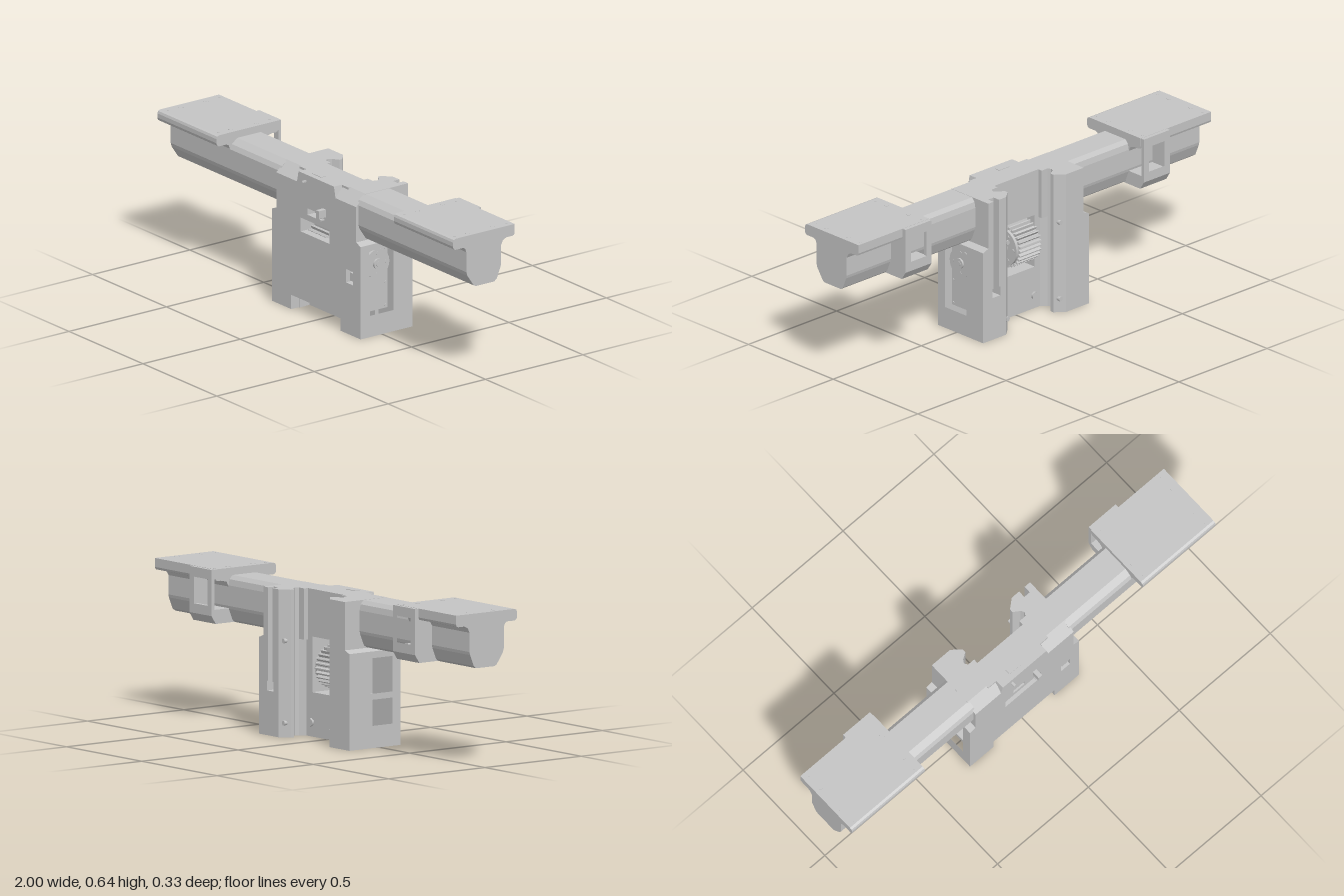
import * as THREE from 'three';

const grey = new THREE.MeshStandardMaterial({ color: 0xc4c4c4 });
grey.name = 'grey';

const rect = (a, b, c, d) => [[a, c], [b, c], [b, d], [a, d]];
const toShape = (pts, holes = []) => {
  const s = new THREE.Shape(pts.map(p => new THREE.Vector2(p[0], p[1])));
  for (const h of holes) s.holes.push(new THREE.Path(h.map(p => new THREE.Vector2(p[0], p[1]))));
  return s;
};

export function createModel() {
  const model = new THREE.Group();
  const add = (name, geometry) => {
    const m = new THREE.Mesh(geometry, grey);
    m.name = name;
    model.add(m);
  };
  const extrude = (pts, depth, holes) =>
    new THREE.ExtrudeGeometry(toShape(pts, holes), { depth, bevelEnabled: false });
  // Front outline [x, y] swept from z0 to z1
  const sweepZ = (name, pts, z0, z1, holes) =>
    add(name, extrude(pts, z1 - z0, holes).translate(0, 0, z0));
  // Side outline [z, y] swept between two x values
  const flip = pts => pts.map(([z, y]) => [-z, y]);
  const sweepX = (name, pts, xa, xb, holes = []) => add(name,
    extrude(flip(pts), Math.abs(xb - xa), holes.map(flip)).rotateY(Math.PI / 2).translate(Math.min(xa, xb), 0, 0));
  // Plan outline [x, z] swept from y0 to y1
  const sweepY = (name, pts, y0, y1) => add(name,
    extrude(pts.map(([x, z]) => [x, -z]), y1 - y0).rotateX(-Math.PI / 2).translate(0, y0, 0));
  const box = (name, x0, x1, y0, y1, z0, z1) => add(name,
    new THREE.BoxGeometry(x1 - x0, y1 - y0, z1 - z0)
      .translate((x0 + x1) / 2, (y0 + y1) / 2, (z0 + z1) / 2));
  const disc = (name, r, h, axis, x, y, z, sides = 24) => {
    const g = new THREE.CylinderGeometry(r, r, h, sides);
    if (axis === 'x') g.rotateZ(Math.PI / 2);
    if (axis === 'z') g.rotateX(Math.PI / 2);
    add(name, g.translate(x, y, z));
  };

  // Front wall with viewing window, slot and cable opening
  sweepZ('frontWall', [[-0.3, 0], [-0.17, 0], [-0.17, 0.062], [0.165, 0.062], [0.165, 0], [0.3, 0],
    [0.3, 0.4], [0.27, 0.412], [0.27, 0.565], [0.13, 0.565], [0.12, 0.612],
    [-0.12, 0.612], [-0.13, 0.565], [-0.27, 0.565], [-0.27, 0.412], [-0.3, 0.4]], 0.07, 0.11,
  [rect(-0.105, 0.09, 0.355, 0.415), rect(-0.06, 0, 0.44, 0.468), rect(0.2, 0.25, 0.22, 0.278)]);
  box('cableClip', 0.215, 0.242, 0.23, 0.265, 0.06, 0.1);

  // Central block with the gear opening
  sweepZ('centralBlock', rect(-0.165, 0.165, 0.06, 0.612), -0.04, 0.07, [rect(-0.105, 0.095, 0.185, 0.415)]);
  box('bottomBar', -0.165, 0.165, 0.001, 0.062, -0.04, 0.02);
  for (const x of [-0.05, 0.05]) {
    disc('barScrew', 0.017, 0.006, 'z', x, 0.033, 0.021);
    disc('barNut', 0.017, 0.012, 'z', x * 2, 0.06, -0.043, 6);
  }

  // Drive gear and its flange
  const teeth = [];
  for (let i = 0; i < 112; i++) {
    const a = i / 112 * Math.PI * 2, r = i % 4 < 2 ? 0.092 : 0.08;
    teeth.push([0.005 + Math.cos(a) * r, 0.3 + Math.sin(a) * r]);
  }
  sweepX('driveGear', teeth, -0.1, 0.02);
  disc('gearFlange', 0.08, 0.012, 'x', 0.026, 0.3, 0.005);
  disc('gearShaft', 0.03, 0.1, 'x', 0.075, 0.3, 0.005);
  for (let i = 0; i < 6; i++) {
    const a = i * Math.PI / 3;
    disc('flangeScrew', 0.008, 0.004, 'x', 0.033, 0.3 + Math.sin(a) * 0.06, 0.005 + Math.cos(a) * 0.06, 10);
  }

  const armProfile = [[0.05, 0.415], [0.06, 0.42], [0.093, 0.468], [0.098, 0.485], [0.098, 0.57],
    [0.088, 0.59], [0.06, 0.611], [-0.06, 0.611], [-0.075, 0.595], [-0.08, 0.57],
    [-0.08, 0.485], [-0.077, 0.472], [-0.058, 0.425], [-0.045, 0.415]];
  const endProfile = [[0.05, 0.415], [0.06, 0.42], [0.093, 0.468], [0.098, 0.485], [0.098, 0.572],
    [0.104, 0.588], [0.115, 0.594], [0.155, 0.594], [0.164, 0.6], [0.167, 0.61], [0.167, 0.628],
    [0.163, 0.638], [0.153, 0.642], [-0.15, 0.642], [-0.15, 0.605], [-0.147, 0.596], [-0.138, 0.593],
    [-0.107, 0.593], [-0.09, 0.585], [-0.08, 0.565], [-0.08, 0.485], [-0.077, 0.472],
    [-0.058, 0.425], [-0.045, 0.415]];

  for (const s of [1, -1]) {
    const mx = pts => pts.map(([x, z]) => [s * x, z]);

    // Side tower with servo pocket, stepped shoulder and sloped upper front
    const pockets = s > 0 ? [rect(-0.058, 0.068, 0.092, 0.372)]
      : [rect(-0.058, 0.068, 0.092, 0.2), rect(-0.058, 0.068, 0.225, 0.372)];
    sweepX('towerSide', rect(-0.06, 0.07, 0, 0.4), s * 0.165, s * 0.3, pockets);
    sweepX('towerUpper', [[0.07, 0.4], [0.07, 0.565], [0.11, 0.565], [0.06, 0.612],
      [-0.06, 0.612], [-0.06, 0.4]], s * 0.125, s * 0.27);
    sweepZ('towerShoulder', mx([[0.27, 0.4], [0.3, 0.4], [0.27, 0.412]]), -0.157, 0.07);

    // Rear rail with an undercut lip; the right one has a cable groove ending in a wider hole
    const lip = [[0.17, -0.157], [0.13, -0.124], [0.13, -0.108], [0.158, -0.09], [0.167, -0.075],
      [0.158, -0.06], [0.135, -0.04], [0.2, -0.04], [0.2, -0.059]];
    const groove = (a, b, z) => s > 0 ? [[b, -0.157], [b, z], [a, z], [a, -0.157]] : [];
    const rail = (w, cut) => mx([[w, -0.059], [w, -0.157], ...cut, ...lip]);
    sweepY('railLower', rail(0.3, []), 0, 0.185);
    sweepY('railHole', rail(0.3, groove(0.203, 0.247, -0.08)), 0.185, 0.225);
    sweepY('railMiddle', rail(0.3, groove(0.21, 0.24, -0.125)), 0.225, 0.4);
    sweepY('railUpper', rail(0.27, groove(0.21, 0.24, -0.125)), 0.4, 0.612);
    for (const y of [0.06, 0.4]) disc('railScrew', 0.01, 0.02, 'z', s * 0.15, y, -0.138, 12);

    // Arm and its mounting plate
    sweepX('arm', armProfile, s * 0.26, s * 0.62);
    sweepX('armEnd', endProfile, s * 0.6, s);
    for (const x of [0.63, 0.97]) {
      for (const [z, r] of [[-0.06, 0.011], [0.07, 0.011], [-0.13, 0.006], [0.135, 0.006]])
        disc('plateScrew', r, 0.002, 'y', s * x, 0.642, z, 12);
    }

    // Hollow bracket behind the arm: open on its inner side and at the back
    const xi = s * 0.602, xo = s * 0.75;
    sweepX('bracketBase', [[-0.045, 0.416], [-0.145, 0.416], [-0.167, 0.45], [-0.167, 0.475],
      [-0.075, 0.475]], xi, xo);
    sweepZ('bracketBack', rect(xi, xo, 0.475, 0.641), -0.167, -0.152,
      [rect(s * 0.63, s * 0.72, 0.49, 0.6)]);
    sweepX('bracketTop', [[-0.152, 0.641], [-0.152, 0.6], [-0.085, 0.585], [-0.07, 0.6], [-0.14, 0.641]], xi, xo);
    sweepX('bracketOuterWall', rect(-0.152, -0.07, 0.475, 0.6), s * 0.735, xo);
  }

  // Servo in the right pocket with its round horn
  box('servo', 0.16, 0.265, 0.096, 0.368, -0.054, 0.064);
  disc('servoHorn', 0.062, 0.01, 'x', 0.27, 0.3, 0.005);
  disc('hornHub', 0.022, 0.016, 'x', 0.275, 0.3, 0.005);
  disc('hornScrew', 0.011, 0.004, 'x', 0.283, 0.3, 0.005, 12);
  for (let i = 0; i < 4; i++) {
    const a = i * Math.PI / 2;
    disc('hornBoss', 0.008, 0.003, 'x', 0.275, 0.3 + Math.sin(a) * 0.046, 0.005 + Math.cos(a) * 0.046, 12);
  }
  for (const y of [0.107, 0.207, 0.356])
    for (const z of [-0.044, 0.055]) disc('servoScrew', 0.006, 0.004, 'x', 0.266, y, z, 10);

  // Small pins on the front wall and a cover on top
  box('frontStop', 0.045, 0.065, 0.464, 0.497, 0.1, 0.146);
  box('upperPin', -0.075, -0.065, 0.58, 0.586, 0.1, 0.13);
  box('lowerPin', 0.045, 0.055, 0.447, 0.453, 0.1, 0.13);
  box('topCover', -0.06, 0, 0.608, 0.614, 0.06, 0.085);

  return model;
}
